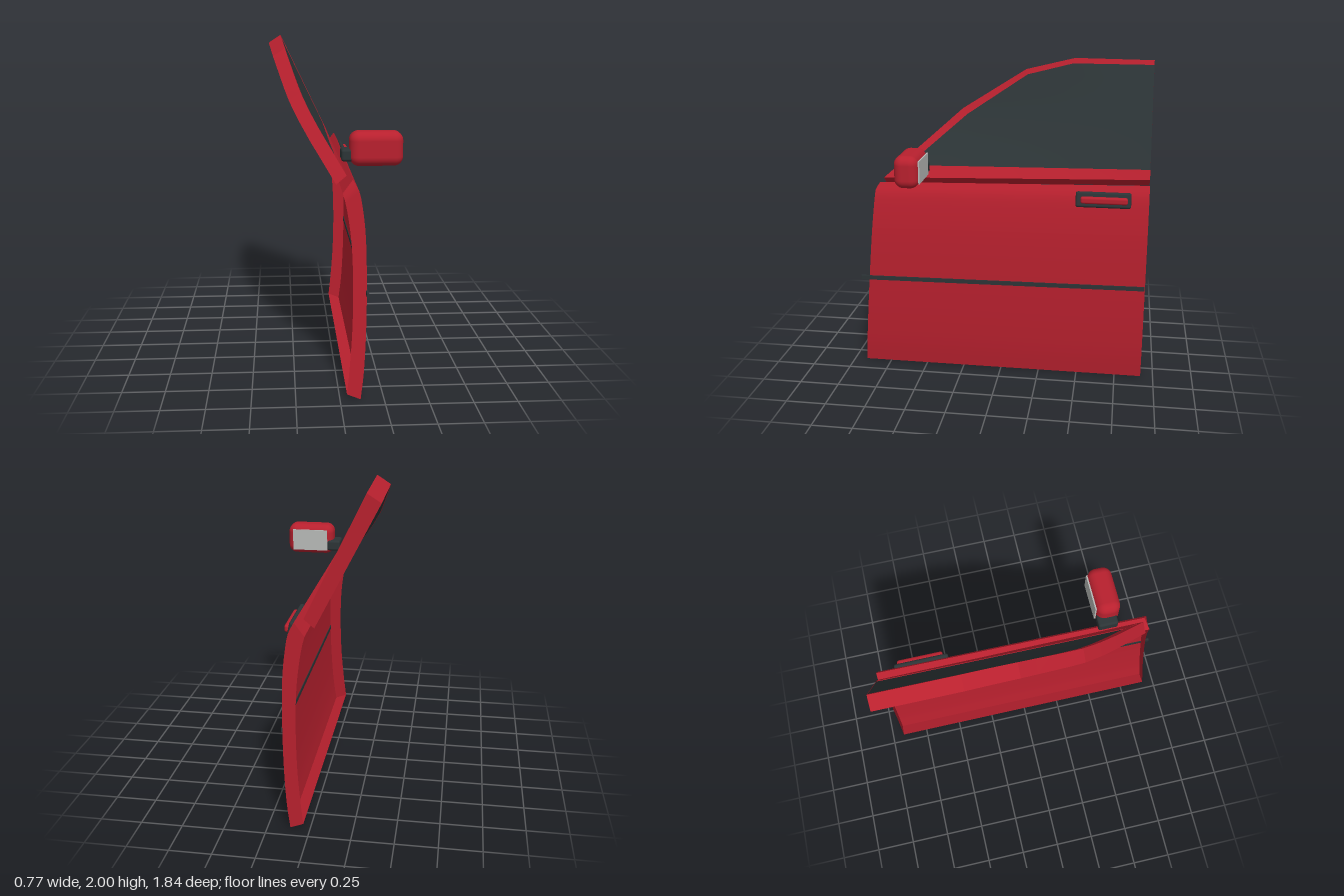
import * as THREE from 'three';
import { RoundedBoxGeometry } from 'three/addons/geometries/RoundedBoxGeometry.js';

const material = (name, color, side = THREE.DoubleSide) => {
  const m = new THREE.MeshStandardMaterial({ color, side });
  m.name = name;
  return m;
};
const V = (x, y, z) => new THREE.Vector3(x, y, z);

// Ruled sheet between two lines of points; warp may move each point
function sheet(a, b, rows = 1, flat = false, warp = p => p) {
  const pos = [], index = [], n = a.length;
  for (let r = 0; r <= rows; r++)
    for (let i = 0; i < n; i++) pos.push(...warp(a[i].clone().lerp(b[i], r / rows)).toArray());
  for (let r = 0; r < rows; r++)
    for (let i = 0; i < n - 1; i++) {
      const k = r * n + i;
      index.push(k, k + 1, k + n, k + 1, k + n + 1, k + n);
    }
  let g = new THREE.BufferGeometry();
  g.setAttribute('position', new THREE.Float32BufferAttribute(pos, 3));
  g.setIndex(index);
  if (flat) g = g.toNonIndexed();
  g.computeVertexNormals();
  return g;
}

// Splits each segment of a (z, y) polyline into equal steps
function divide(points, steps) {
  const out = [];
  for (let i = 0; i < points.length - 1; i++)
    for (let s = 0; s < steps; s++) {
      const t = s / steps, [p, q] = [points[i], points[i + 1]];
      out.push(V(0, p[1] + (q[1] - p[1]) * t, p[0] + (q[0] - p[0]) * t));
    }
  const e = points[points.length - 1];
  out.push(V(0, e[1], e[0]));
  return out;
}

export function createModel() {
  const red = material('red paint', 0xb8202e);
  const dark = material('dark trim and glass', 0x2c3436);
  const silver = material('mirror silver', 0xb8bab8);
  const model = new THREE.Group();
  const add = (parent, name, geometry, mat, x = 0, y = 0, z = 0) => {
    const mesh = new THREE.Mesh(geometry, mat);
    mesh.name = name;
    mesh.position.set(x, y, z);
    parent.add(mesh);
    return mesh;
  };
  const group = name => {
    const g = new THREE.Group();
    g.name = name;
    model.add(g);
    return g;
  };

  // Lower panel: curved skin with flanges folded inward
  const panel = group('lowerPanel');
  const curve = pts => new THREE.CatmullRomCurve3(pts.map(([x, y]) => V(x, y, 0))).getPoints(28);
  const outer = curve([[0.117, 0], [0.135, 0.15], [0.149, 0.4], [0.153, 0.7], [0.147, 0.95],
    [0.132, 1.1], [0.112, 1.21], [0.078, 1.28]]);
  const inner = curve([[0.04, 0.03], [0.055, 0.18], [0.071, 0.4], [0.076, 0.68], [0.068, 0.9],
    [0.052, 1.04], [0.035, 1.14], [0.02, 1.2]]);
  const rear = line => line.map(p => V(p.x, p.y, -0.92));
  const front = line => line.map(p => {
    const y = p.y * (1 - 0.031 * Math.pow(p.y / 1.28, 3));
    return V(p.x, y, 0.92 - 0.092 * y - 0.02 * Math.max(0, y - 1.2) / 0.04);
  });
  const ro = rear(outer), ri = rear(inner), fo = front(outer), fi = front(inner);
  add(panel, 'panelSkin', sheet(ro, fo, 4), red);
  add(panel, 'frontFlange', sheet(fo, fi), red);
  add(panel, 'rearFlange', sheet(ro, ri), red);
  for (const [name, i] of [['bottomFlange', 0], ['topFlange', outer.length - 1]])
    add(panel, name, sheet([ro[i], fo[i]], [ri[i], fi[i]]), red);

  // Leaning window surface, bowed inward towards the front; depth goes inward
  const place = (depth = 0) => p => {
    const t = THREE.MathUtils.clamp((p.y - 1.28) / 0.72, 0, 1);
    const w = THREE.MathUtils.clamp((p.z + 0.92) / 1.2, 0, 1);
    const x = 0.035 - 0.48 * (p.y - 1.28) - 0.04 * Math.sin(Math.PI * t) * w;
    return V(x - depth * (0.058 + 0.02 * t), p.y - depth * 0.05, p.z);
  };
  const line = (pts, depth) => pts.map(place(depth));
  const edge = divide([[-0.92, 1.995], [-0.42, 2], [-0.11, 1.927], [0.29, 1.68], [0.77, 1.26]], 4);
  const opening = divide([[-0.92, 1.967], [-0.41, 1.967], [-0.12, 1.895], [0.26, 1.645], [0.62, 1.336]], 4);
  const sill = opening.map(p => V(0, 1.336 + 0.024 * (0.62 - p.z) / 1.54, p.z));
  const base = divide([[0.77, 1.262], [-0.92, 1.302]], 10);
  const railTop = divide([[0.62, 1.336], [-0.92, 1.36]], 10);
  const rearEdge = divide([[-0.92, 1.302], [-0.92, 1.995]], 8);

  const frame = group('windowFrame');
  add(frame, 'pillarAndRoofRail', sheet(edge, opening, 1, true, place()), red);
  add(frame, 'beltRail', sheet(base, railTop, 2, false, place()), red);
  for (const [name, pts] of [['upperFlange', edge], ['lowerFlange', base], ['rearWindowFlange', rearEdge]])
    add(frame, name, sheet(line(pts, 0), line(pts, 1), 1, true), red);

  // Dark seal lining the inside of the pillar and roof rail
  const lining = edge.map((p, i) => p.clone().lerp(opening[i], 0.2));
  add(frame, 'sealSide', sheet(line(lining, 0.08), line(lining, 0.97), 1, true), dark);
  add(frame, 'sealBack', sheet(lining, opening, 1, true, place(0.08)), dark);
  add(model, 'windowGlass', sheet(opening, sill, 8, false, place(0.04)), dark);

  // Side moulding, rising slightly to the rear
  const moulding = add(model, 'sideMoulding', new THREE.BoxGeometry(0.012, 0.027, 1.836), dark, 0.155, 0.619, 0);
  moulding.rotation.x = 0.01;

  // Door handle on its dark surround
  const handle = group('doorHandle');
  const surround = add(handle, 'handleSurround', new RoundedBoxGeometry(0.03, 0.098, 0.342, 3, 0.014), dark, 0.121, 1.19, -0.64);
  surround.rotation.z = 0.2;
  add(handle, 'handleBar', new RoundedBoxGeometry(0.034, 0.044, 0.29, 3, 0.014), red, 0.143, 1.192, -0.645);

  // Wing mirror
  const mirror = group('wingMirror');
  add(mirror, 'mirrorHousing', new RoundedBoxGeometry(0.31, 0.202, 0.152, 6, 0.055), red, 0.231, 1.381, 0.544);
  add(mirror, 'mirrorMount', new RoundedBoxGeometry(0.09, 0.07, 0.125, 3, 0.015), dark, 0.073, 1.344, 0.53);
  add(mirror, 'mirrorGlass', new THREE.BoxGeometry(0.235, 0.14, 0.009), silver, 0.232, 1.381, 0.465);

  return model;
}
